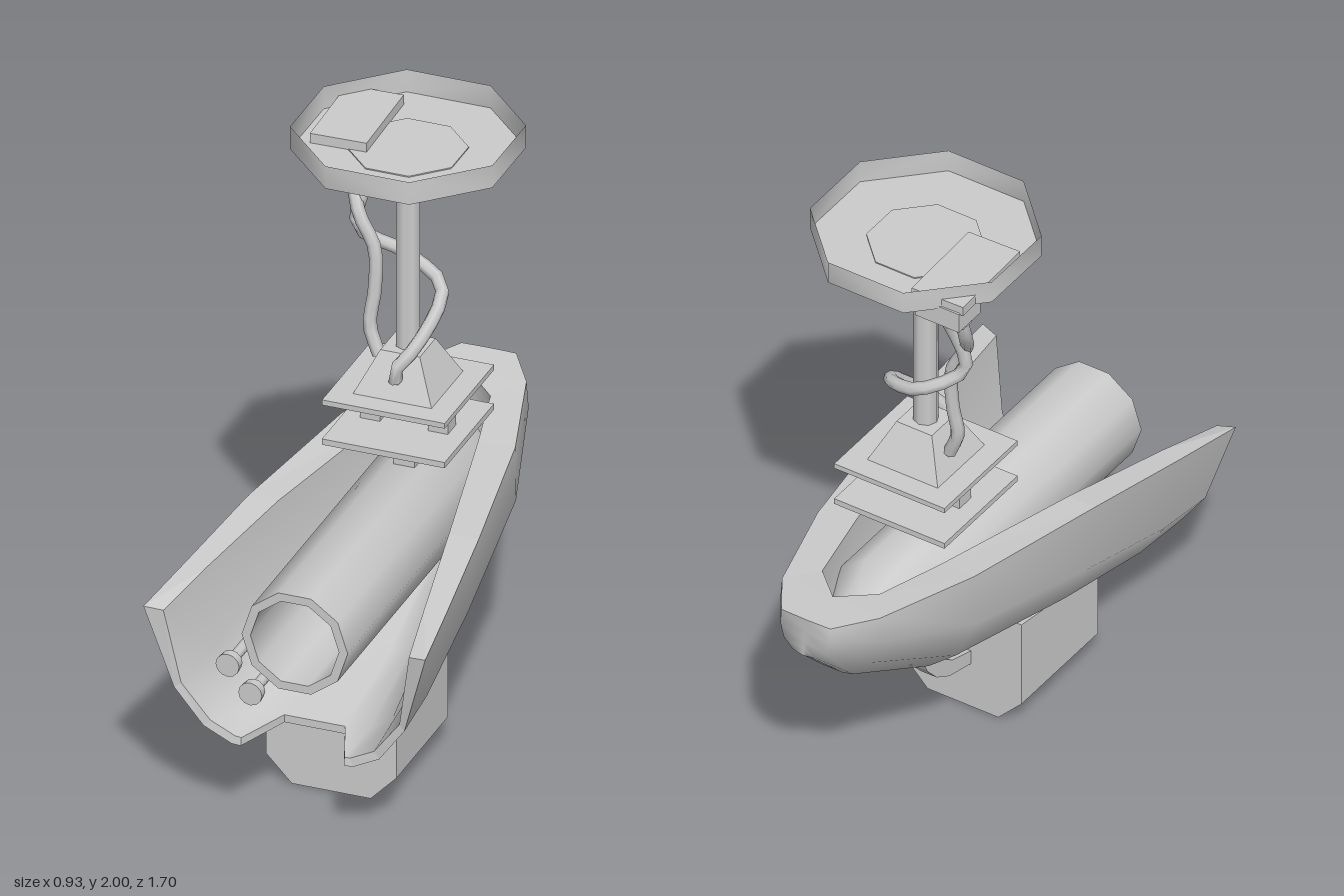
import * as THREE from 'three';
import { toCreasedNormals } from 'three/addons/utils/BufferGeometryUtils.js';

const flat = new THREE.MeshStandardMaterial({ color: 0xcccccc, flatShading: true, side: THREE.DoubleSide });
const smooth = new THREE.MeshStandardMaterial({ color: 0xcccccc, side: THREE.DoubleSide });
const AXIS_Z = -0.165; // shared axis of the hanging mount

export function createModel() {
  const model = new THREE.Group();
  model.name = 'hangingLamp';

  const add = (name, geo, x = 0, y = 0, z = 0, mat = flat) => {
    const mesh = new THREE.Mesh(geo, mat);
    mesh.name = name;
    mesh.position.set(x, y, z);
    model.add(mesh);
    return mesh;
  };
  // box given by its centre in x and z, and its bottom and top in y
  const box = (name, w, d, y0, y1, x, z) =>
    add(name, new THREE.BoxGeometry(w, y1 - y0, d), x, (y0 + y1) / 2, z);
  // surface through rows of points
  const grid = (rows, skip = () => false) => {
    const n = rows[0].length, index = [];
    for (let i = 0; i < rows.length - 1; i++)
      for (let j = 0; j < n - 1; j++) {
        if (skip(i, j)) continue;
        const a = i * n + j, c = a + n;
        index.push(a, a + 1, c + 1, a, c + 1, c);
      }
    const geo = new THREE.BufferGeometry();
    geo.setAttribute('position', new THREE.Float32BufferAttribute(rows.flat(2), 3));
    geo.setIndex(index);
    geo.computeVertexNormals();
    return geo;
  };
  // turned part, smooth around and creased at sharp edges
  const lathe = (pts, sides) => toCreasedNormals(
    new THREE.LatheGeometry(pts.map(p => new THREE.Vector2(...p)), sides, Math.PI / sides), 0.82);

  // ceiling plate: thin open octagonal tray with a tapered hub below
  add('ceilingPlate', lathe([[0, 1.922], [0.361, 1.922], [0.361, 2]], 8), 0, 0, AXIS_Z, smooth);
  add('plateHub', lathe([[0, 1.84], [0.11, 1.84], [0.186, 1.92], [0.186, 1.926], [0, 1.926]], 8), 0, 0, AXIS_Z, smooth);

  // junction box with two cable sockets
  box('junctionBoxTop', 0.185, 0.33, 1.924, 1.957, -0.203, -0.25).rotation.y = 0.03;
  box('junctionBox', 0.16, 0.12, 1.86, 1.93, -0.21, -0.36);
  for (const x of [-0.245, -0.17]) box('cableSocket', 0.055, 0.05, 1.83, 1.865, x, -0.345);

  // rod, pyramid and stacked square plates
  add('rod', new THREE.CylinderGeometry(0.04, 0.04, 0.64, 8), 0, 1.54, AXIS_Z, smooth);
  const pyramid = new THREE.CylinderGeometry(0.065 * Math.SQRT2, 0.13 * Math.SQRT2, 0.135, 4);
  pyramid.rotateY(Math.PI / 4);
  add('pyramid', pyramid, 0, 1.1725, AXIS_Z);
  box('upperPlate', 0.405, 0.405, 1.088, 1.106, 0, AXIS_Z);
  box('lowerPlate', 0.405, 0.405, 0.95, 0.97, 0, AXIS_Z);
  for (const s of [-1, 1]) box('spacer', 0.065, 0.065, 0.965, 1.095, s * 0.112, AXIS_Z);
  box('neck', 0.07, 0.065, 0.8, 0.955, 0, AXIS_Z);

  // twisted cables
  const cables = [
    [[-0.245, 1.85, -0.345], [-0.24, 1.76, -0.31], [-0.19, 1.63, -0.232], [-0.135, 1.52, -0.225],
      [-0.13, 1.38, -0.215], [-0.14, 1.26, -0.2], [-0.105, 1.17, -0.19]],
    [[-0.168, 1.85, -0.345], [-0.17, 1.76, -0.29], [-0.2, 1.57, -0.25], [-0.07, 1.475, -0.31],
      [0.07, 1.42, -0.26], [0.09, 1.38, -0.2], [0.05, 1.27, -0.09], [0, 1.2, -0.05], [0, 1.165, -0.06]],
  ];
  for (const pts of cables) {
    const path = new THREE.CatmullRomCurve3(pts.map(p => new THREE.Vector3(...p)));
    add('cable', new THREE.TubeGeometry(path, 18, 0.022, 7), 0, 0, 0, smooth);
  }

  // hull: half sections from rim to floor, [z at rim, z at floor, ...points]
  const outerHalf = [
    [0.85, 0.785, [0.465, 0.745], [0.38, 0.46], [0.29, 0.335], [0.2, 0.287], [0.17, 0.285]],
    [0.6, 0.6, [0.433, 0.772], [0.37, 0.475], [0.28, 0.34], [0.2, 0.292], [0.1, 0.288]],
    [0.2, 0.2, [0.38, 0.82], [0.345, 0.56], [0.27, 0.42], [0.18, 0.345], [0.09, 0.34]],
    [-0.33, -0.33, [0.288, 0.855], [0.29, 0.67], [0.22, 0.52], [0.12, 0.435], [0.06, 0.43]],
    [-0.69, -0.69, [0.18, 0.88], [0.187, 0.79], [0.14, 0.69], [0.08, 0.62], [0.04, 0.61]],
    [-0.83, -0.842, [0.09, 0.89], [0.09, 0.84], [0.075, 0.795], [0.04, 0.765], [0.02, 0.76]],
    [-0.832, -0.846, [0, 0.89], [0, 0.85], [0, 0.81], [0, 0.78], [0, 0.76]],
  ];
  const innerHalf = [
    [0.835, 0.78, [0.405, 0.735], [0.36, 0.475], [0.27, 0.355], [0.19, 0.313], [0.17, 0.311]],
    [0.6, 0.6, [0.36, 0.772], [0.33, 0.5], [0.255, 0.37], [0.18, 0.318], [0.1, 0.314]],
    [0.2, 0.2, [0.282, 0.82], [0.27, 0.6], [0.22, 0.46], [0.15, 0.38], [0.09, 0.375]],
    [-0.33, -0.33, [0.165, 0.85], [0.16, 0.7], [0.13, 0.58], [0.08, 0.5], [0.04, 0.49]],
    [-0.58, -0.58, [0.105, 0.87], [0.1, 0.82], [0.085, 0.74], [0.04, 0.67], [0.02, 0.66]],
    [-0.68, -0.66, [0, 0.88], [0, 0.83], [0, 0.79], [0, 0.75], [0, 0.74]],
  ];
  const section = ([zRim, zFloor, ...pts]) => {
    const top = pts[0][1], low = pts[4][1];
    const half = pts.map(([x, y]) => [x, y, zFloor + (zRim - zFloor) * (y - low) / (top - low)]);
    return [...half, ...half.map(([x, y, z]) => [-x, y, z]).reverse()];
  };
  const outer = outerHalf.map(section), inner = innerHalf.map(section);
  const shell = grid(outer, (i, j) => i === 0 && j === 4);
  for (let v = 60; v < 70; v++) shell.attributes.normal.setXYZ(v, 0, -0.1, -0.995); // evenly rounded tail
  add('hullOutside', shell, 0, 0, 0, smooth);
  add('hullInside', grid([...inner].reverse(), (i, j) => i === 4 && j === 4), 0, 0, 0, smooth);
  for (const k of [0, 9]) // rim on both sides
    add('hullRim', grid([outer.slice(0, 6).map(r => r[k]), inner.map(r => r[k])]));
  add('tailTop', grid([[outer[5][0], outer[6][0], outer[5][9]], Array(3).fill(inner[5][0])]));
  add('hullFrontEdge', grid([outer[0], inner[0]], (i, j) => j === 4));
  const notchPath = r => [r[0][4], r[1][4], r[1][5], r[0][5]];
  add('floorNotchEdge', grid([notchPath(outer), notchPath(inner)]));

  // open barrel lying in the hull
  const barrel = lathe([[0, -0.64], [0.083, -0.625], [0.175, -0.42], [0.175, 0.765], [0.146, 0.765],
    [0.146, -0.1], [0.125, -0.17], [0.07, -0.22], [0, -0.24]], 10);
  barrel.rotateX(Math.PI / 2);
  add('barrel', barrel, 0, 0.665, 0, smooth);

  // two capped pins beside the barrel
  for (const [x, y] of [[-0.225, 0.54], [-0.15, 0.455]]) {
    const stem = new THREE.CylinderGeometry(0.018, 0.018, 0.46, 8);
    const cap = new THREE.CylinderGeometry(0.039, 0.036, 0.035, 12);
    for (const g of [stem, cap]) g.rotateX(Math.PI / 2);
    add('pinStem', stem, x, y, 0.5, smooth);
    add('pinCap', cap, x, y, 0.74, smooth);
  }

  // chamfered box under the hull, its top sloping with the hull
  const outline = [[-0.13, 0], [0.13, 0], [0.215, 0.088], [0.215, 0.33], [-0.215, 0.33], [-0.215, 0.088]];
  const base = new THREE.ExtrudeGeometry(new THREE.Shape(outline.map(p => new THREE.Vector2(...p))),
    { depth: 0.425, bevelEnabled: false });
  const pos = base.attributes.position;
  for (let i = 0; i < pos.count; i++)
    if (pos.getY(i) > 0.3) pos.setY(i, 0.395 - 0.065 * pos.getZ(i) / 0.425);
  base.computeVertexNormals();
  add('lowerBox', base, 0, 0, 0.04);

  // curved strut from the box to the hull, drawn in (-z, y)
  const strut = [[-0.06, 0.165], [-0.03, 0.168], [0.08, 0.195], [0.15, 0.235], [0.2, 0.29], [0.28, 0.44],
    [0.22, 0.44], [0.16, 0.335], [0.12, 0.285], [0.06, 0.245], [-0.04, 0.215], [-0.06, 0.21]];
  const strutGeo = new THREE.ExtrudeGeometry(new THREE.Shape(strut.map(p => new THREE.Vector2(...p))),
    { depth: 0.06, bevelEnabled: false });
  strutGeo.rotateY(Math.PI / 2);
  add('strut', strutGeo, -0.03, 0, 0);

  return model;
}
